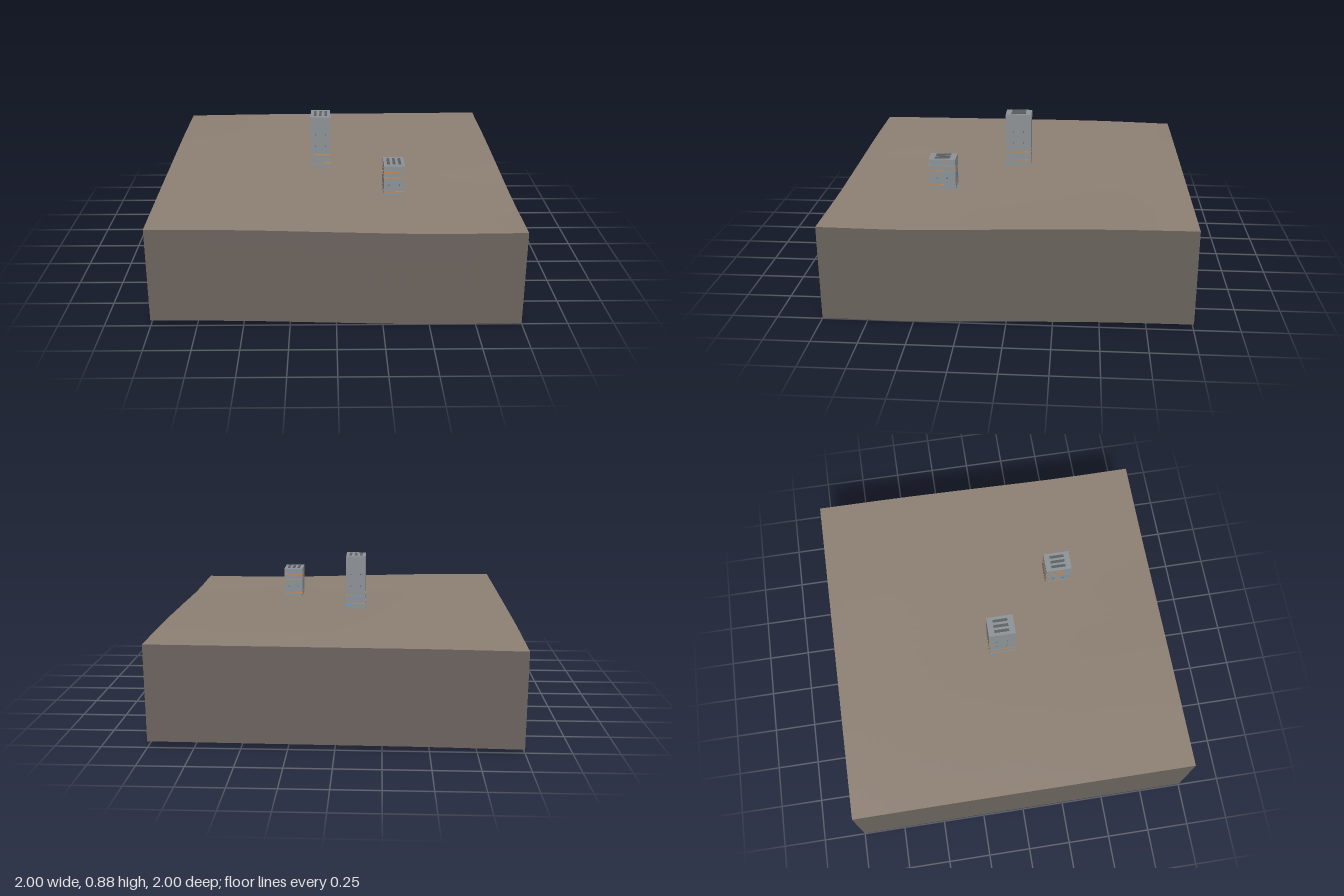
import * as THREE from 'three';

const mat = (name, color, side = THREE.FrontSide) => {
  const m = new THREE.MeshStandardMaterial({ color, side });
  m.name = name;
  return m;
};

// Rolling ground: rows run from back to front, columns from right to left side (x = -1..1)
const RELIEF = [
  [0.022, 0.029, 0.032, 0.035, 0.038],
  [0.034, 0.031, 0.028, 0.030, 0.034],
  [0.036, 0.031, 0.022, 0.018, 0.020],
  [0.036, 0.030, 0.015, 0.005, 0.004],
  [0.035, 0.030, 0.016, 0.004, 0.007],
];
const DEPTH = 0.535;

function spline(v, t) {
  const s = (THREE.MathUtils.clamp(t, -1, 1) + 1) * 2;
  const i = Math.min(3, Math.floor(s)), f = s - i;
  const a = v[i], b = v[i + 1];
  const p = i > 0 ? v[i - 1] : 2 * a - b, q = i < 3 ? v[i + 2] : 2 * b - a;
  return a + 0.5 * f * (b - p + f * (2 * p - 5 * a + 4 * b - q + f * (3 * (a - b) + q - p)));
}
const relief = (x, z) => spline(RELIEF.map((row) => spline(row, x)), z);

// Lift every vertex by the relief under it
function drape(geometry) {
  const p = geometry.attributes.position;
  for (let i = 0; i < p.count; i++) p.setY(i, p.getY(i) + relief(p.getX(i), p.getZ(i)));
  geometry.computeVertexNormals();
  return geometry;
}

export function createModel() {
  const model = new THREE.Group();
  model.name = 'terrainBlock';
  const soil = mat('soil', 0x8c7f73, THREE.DoubleSide);
  const earth = mat('cutEarth', 0x6a625d, THREE.DoubleSide);
  const concrete = mat('concrete', 0x8c9195);
  const vent = mat('ventGrey', 0x5c6063);
  const orange = mat('orangeTrim', 0xd08540);
  const blue = mat('blueGlass', 0x45698a);

  const add = (parent, name, geometry, material, x = 0, y = 0, z = 0) => {
    const mesh = new THREE.Mesh(geometry, material);
    mesh.name = name;
    mesh.position.set(x, y, z);
    parent.add(mesh);
    return mesh;
  };

  // Ground surface
  const ground = new THREE.PlaneGeometry(2, 2, 24, 24).rotateX(-Math.PI / 2).translate(0, DEPTH, 0);
  add(model, 'ground', drape(ground), soil);

  // Four side walls, open underneath
  for (let k = 0; k < 4; k++) {
    const wall = new THREE.PlaneGeometry(2, DEPTH, 24, 1)
      .translate(0, DEPTH / 2, 1).rotateY(k * Math.PI / 2);
    add(model, 'sideWall', drape(wall), earth);
  }

  // Towers with roof vents, trim bands and small panes
  const W = 0.118, D = 0.156;
  const tower = (x, z, top, bands, panes) => {
    const g = new THREE.Group();
    g.name = 'tower';
    g.position.set(x, 0, z);
    model.add(g);
    const base = DEPTH + relief(x, z) - 0.015;
    add(g, 'towerBody', new THREE.BoxGeometry(W, top - base, D), concrete, 0, (top + base) / 2);
    for (const dx of [-0.032, 0, 0.032])
      add(g, 'roofVent', new THREE.BoxGeometry(0.015, 0.006, 0.086), vent, dx, top + 0.002, 0);
    for (const y of bands)
      add(g, 'trimBand', new THREE.BoxGeometry(W + 0.002, 0.005, D + 0.002), orange, 0, y);
    for (const y of panes)
      for (const d of [-0.03, 0.03]) {
        add(g, 'pane', new THREE.BoxGeometry(0.007, 0.007, D + 0.002), blue, d, y);
        add(g, 'pane', new THREE.BoxGeometry(W + 0.002, 0.007, 0.007), blue, 0, y, d);
      }
  };
  tower(-0.085, 0, 0.88, [0.59, 0.642], [0.7, 0.77]);
  tower(0.333, 0.415, 0.723, [0.567, 0.653, 0.688], [0.61]);

  return model;
}
